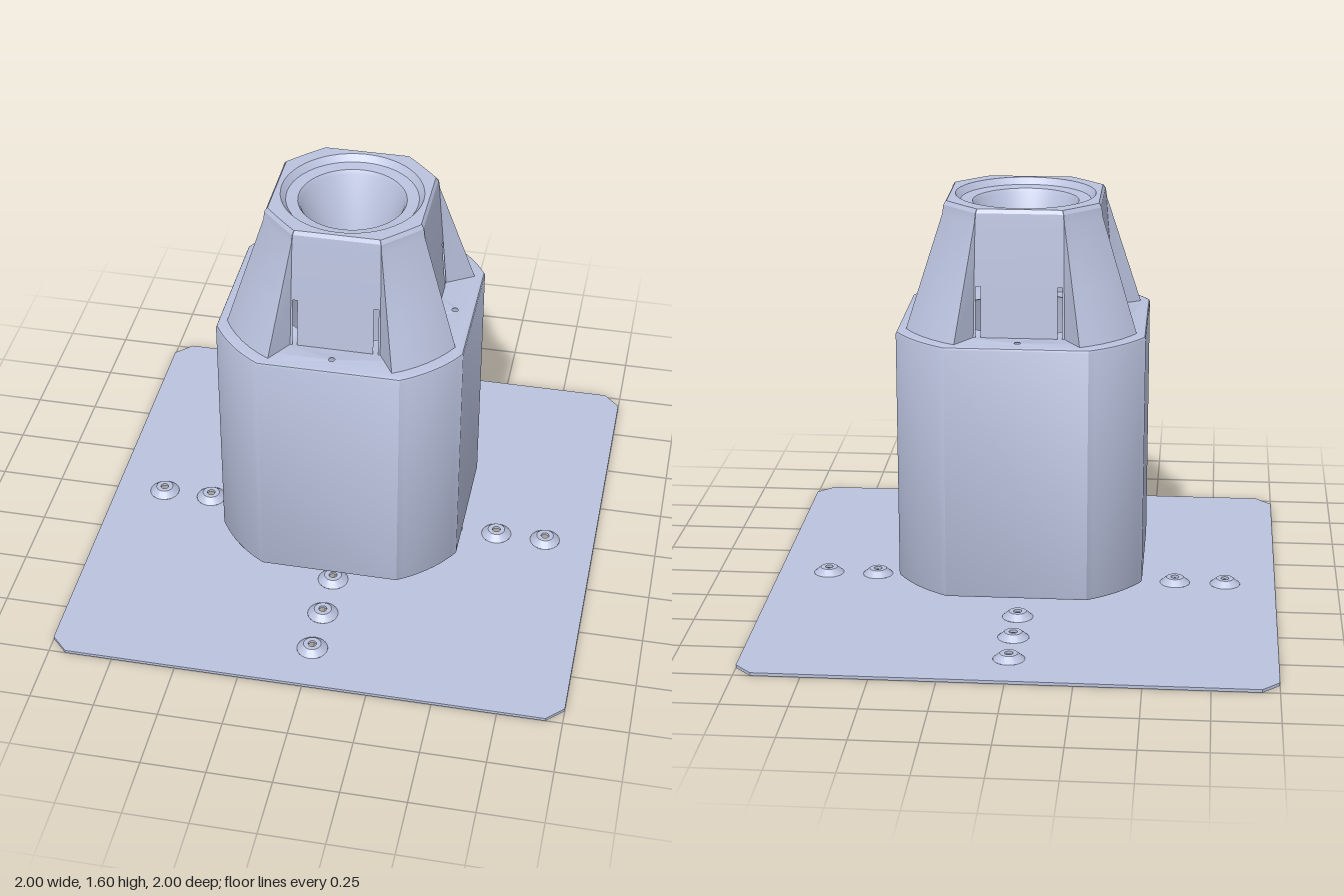
import * as THREE from 'three';
import { toCreasedNormals } from 'three/addons/utils/BufferGeometryUtils.js';

const V2 = (x, y) => new THREE.Vector2(x, y);
const rot4 = (pts) => {
  // repeat a quarter outline (x, z) around the vertical axis
  const out = [];
  let q = pts;
  for (let k = 0; k < 4; k++) {
    out.push(...q);
    q = q.map(([x, z]) => [z, -x]);
  }
  return out;
};

function circleHole(x, z, r) {
  return new THREE.Path().absarc(x, z, r, 0, Math.PI * 2, true);
}

// Extrude a plan shape upward from y0
function slab(shape, y0, height, bevel = 0) {
  const g = new THREE.ExtrudeGeometry(shape, {
    depth: height - 2 * bevel, curveSegments: 16, bevelEnabled: bevel > 0,
    bevelSize: bevel, bevelThickness: bevel, bevelOffset: -bevel, bevelSegments: 2,
  });
  g.rotateX(-Math.PI / 2);
  g.translate(0, y0 + bevel, 0);
  return toCreasedNormals(g, 0.5);
}

// Corner arc between the ends of two flat sides
function cornerArc(a, b, n) {
  const r = Math.hypot(a, b), t0 = Math.atan2(a, b), t1 = Math.PI / 2 - t0;
  return Array.from({ length: n + 1 }, (_, i) => {
    const t = t0 + (t1 - t0) * i / n;
    return [r * Math.sin(t), r * Math.cos(t)];
  });
}

// One quarter of the tower plan: slot edges, fin foot, fin face, mirrored
function towerQuarter(flat, foot, finX, finZ, arc) {
  const n = 6;
  const half = [[0.145, flat], [0.163, flat], [foot, flat]];
  const round = cornerArc(finX, finZ, n);
  const fin = round.map(([x, z], i) => {
    const t = i / n;
    const lx = finX + (finZ - finX) * t, lz = finZ + (finX - finZ) * t;
    return [lx + (x - lx) * arc, lz + (z - lz) * arc];
  });
  return [...half, ...fin, ...half.map(([x, z]) => [z, x]).reverse()];
}

function towerGeometry(rows) {
  const pos = [], idx = [];
  const n = rows[0].ring.length, per = n / 4;
  rows.forEach(({ y, ring }) => ring.forEach(([x, z]) => pos.push(x, y, z)));
  for (let r = 0; r < rows.length - 1; r++) {
    for (let i = 0; i < n; i++) {
      // narrow slots beside each fin foot are left open
      if (r === 0 && (i % per === 0 || i % per === per - 2)) continue;
      const j = (i + 1) % n, a = r * n + i, b = r * n + j;
      idx.push(a, b, b + n, a, b + n, a + n);
    }
  }
  const g = new THREE.BufferGeometry();
  g.setAttribute('position', new THREE.Float32BufferAttribute(pos, 3));
  g.setIndex(idx);
  return toCreasedNormals(g, 0.35);
}

export function createModel() {
  const group = new THREE.Group();
  const metal = new THREE.MeshStandardMaterial({ color: 0xbac2de, side: THREE.DoubleSide });
  metal.name = 'pale blue grey';
  const add = (name, geometry) => {
    const m = new THREE.Mesh(geometry, metal);
    m.name = name;
    group.add(m);
    return m;
  };

  // Base plate with cut corners and a cross of dimples
  const spots = [[0, 0]];
  for (const d of [0.4, 0.6, 0.8]) spots.push([d, 0], [-d, 0], [0, d], [0, -d]);
  const c = 0.935;
  const plate = new THREE.Shape([
    V2(-c, -1), V2(c, -1), V2(1, -c), V2(1, c), V2(c, 1), V2(-c, 1), V2(-1, c), V2(-1, -c),
  ]);
  spots.forEach(([x, z]) => plate.holes.push(circleHole(x, z, 0.06)));
  add('basePlate', slab(plate, 0, 0.012));

  // Raised dimples with a screw hole
  const dimple = toCreasedNormals(new THREE.LatheGeometry([
    V2(0.06, 0), V2(0.05, 0), V2(0.028, 0.022), V2(0.016, 0.024),
    V2(0.016, 0.035), V2(0.034, 0.035), V2(0.06, 0.012),
  ].reverse(), 24), 0.5);
  spots.forEach(([x, z]) => add('dimple', dimple).position.set(x, 0, z));

  // Main body with rounded corners, bore and four bolt holes
  const body = new THREE.Shape(rot4(cornerArc(0.27, 0.475, 10)).map(([x, z]) => V2(x, z)));
  body.holes.push(circleHole(0, 0, 0.3));
  for (const [x, z] of [[0.4, 0], [-0.4, 0], [0, 0.4], [0, -0.4]]) {
    body.holes.push(circleHole(x, z, 0.024));
  }
  add('body', slab(body, 0.115, 1, 0.012));

  // Tower shell with four tapering corner fins
  const low = towerQuarter(0.337, 0.172, 0.235, 0.44, 1);
  const high = towerQuarter(0.302, 0.166, 0.168, 0.304, 0.15);
  const mix = (t) => low.map(([x, z], i) => [x + (high[i][0] - x) * t, z + (high[i][1] - z) * t]);
  const scaled = (s) => rot4(high.map(([x, z]) => [x * s, z * s]));
  const rim = scaled(0.955);
  add('tower', towerGeometry([
    { y: 1.113, ring: rot4(low) },
    { y: 1.31, ring: rot4(mix(0.45)) },
    { y: 1.55, ring: rot4(high) },
    { y: 1.585, ring: scaled(0.985) },
    { y: 1.6, ring: rim },
  ]));

  // Flat rim around the mouth
  const top = new THREE.Shape(rim.map(([x, z]) => V2(x, z)));
  top.holes.push(circleHole(0, 0, 0.27));
  const topGeo = new THREE.ShapeGeometry(top, 24);
  topGeo.rotateX(-Math.PI / 2);
  topGeo.translate(0, 1.6, 0);
  add('rim', topGeo);

  // Stepped funnel inside the mouth
  add('funnel', toCreasedNormals(new THREE.LatheGeometry([
    V2(0.27, 1.6), V2(0.25, 1.575), V2(0.205, 1.57), V2(0.195, 1.555), V2(0.12, 1.32),
    V2(0.135, 1.32), V2(0.22, 1.555),
  ], 48), 0.4));

  return group;
}
